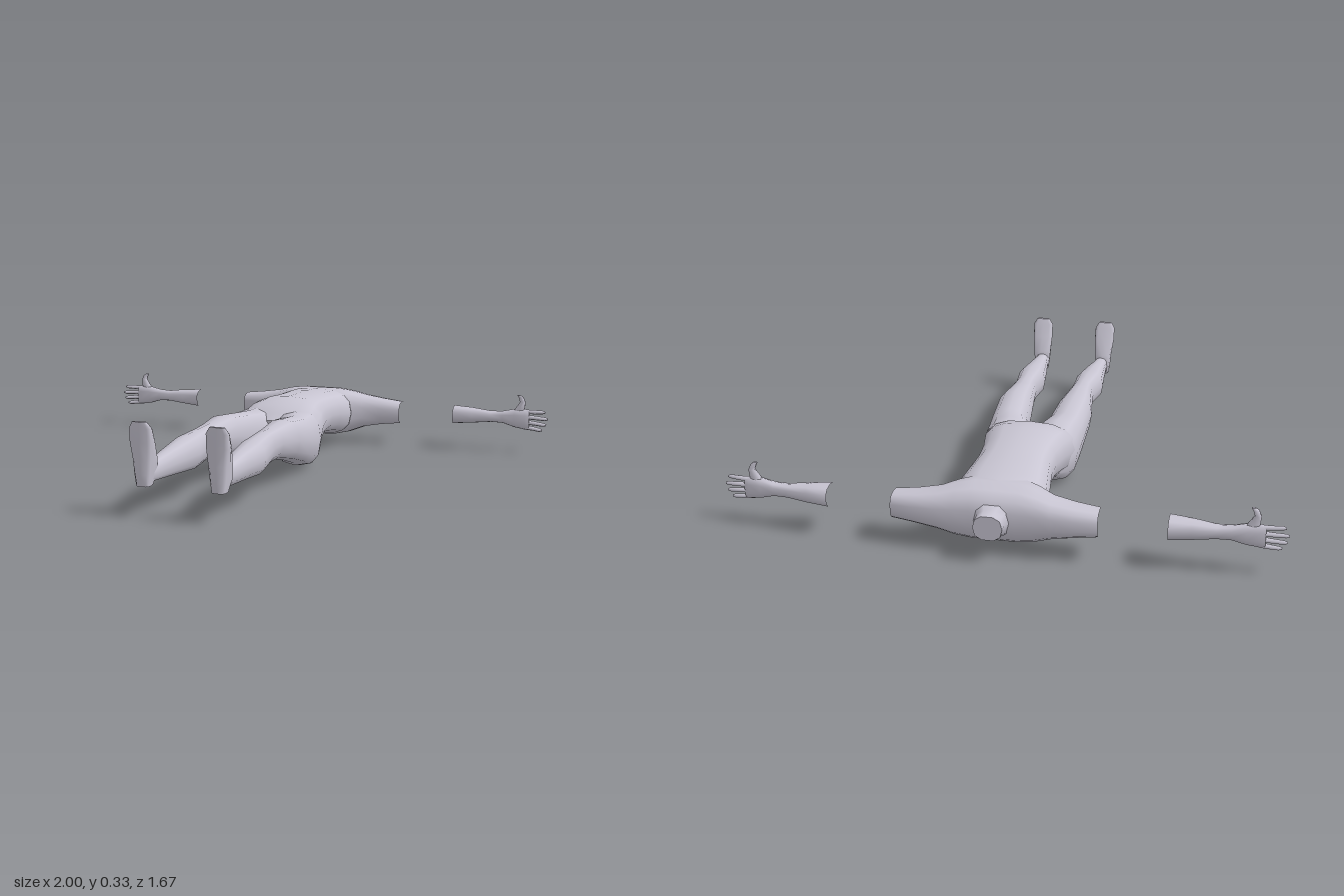
import * as THREE from 'three';

const skin = new THREE.MeshStandardMaterial({ color: 0xc8c5d2 });
skin.name = 'pale lavender grey';

// Loft of rounded sections [at, uMin, uMax, vMin, vMax], ordered along +axis.
// (u, v) is (y, z) for axis x, (z, x) for axis y and (x, y) for axis z.
function loft(axis, sections, { sides = 12, round = 0.8, capStart = false, capEnd = false } = {}) {
  const pos = [], index = [];
  const place = (u, v, at) => {
    if (axis === 'x') pos.push(at, u, v);
    else if (axis === 'y') pos.push(v, at, u);
    else pos.push(u, v, at);
  };
  const bend = t => Math.sign(t) * Math.pow(Math.abs(t), round);
  const ring = ([at, u0, u1, v0, v1]) => {
    const first = pos.length / 3;
    for (let i = 0; i < sides; i++) {
      const a = (i / sides) * Math.PI * 2;
      place((u0 + u1) / 2 + bend(Math.cos(a)) * (u1 - u0) / 2,
        (v0 + v1) / 2 + bend(Math.sin(a)) * (v1 - v0) / 2, at);
    }
    return first;
  };
  const starts = sections.map(ring);
  for (let r = 0; r + 1 < starts.length; r++) {
    for (let i = 0; i < sides; i++) {
      const j = (i + 1) % sides, a = starts[r], b = starts[r + 1];
      index.push(a + i, a + j, b + j, a + i, b + j, b + i);
    }
  }
  const cap = (s, forward) => {
    const f = ring(s), c = pos.length / 3;
    place((s[1] + s[2]) / 2, (s[3] + s[4]) / 2, s[0]);
    for (let i = 0; i < sides; i++) {
      const j = (i + 1) % sides;
      if (forward) index.push(c, f + i, f + j);
      else index.push(c, f + j, f + i);
    }
  };
  if (capStart) cap(sections[0], false);
  if (capEnd) cap(sections[sections.length - 1], true);
  const geo = new THREE.BufferGeometry();
  geo.setAttribute('position', new THREE.Float32BufferAttribute(pos, 3));
  geo.setIndex(index);
  geo.computeVertexNormals();
  return geo;
}

// Mirror across x = 0, keeping faces outward
function mirror(geo) {
  const m = geo.clone();
  m.scale(-1, 1, 1);
  const ix = m.index.array;
  for (let i = 0; i < ix.length; i += 3) [ix[i], ix[i + 1]] = [ix[i + 1], ix[i]];
  m.computeVertexNormals();
  return m;
}

export function createModel() {
  const model = new THREE.Group();
  model.name = 'lyingBody';
  const add = (name, geo, parent = model) => {
    const mesh = new THREE.Mesh(geo, skin);
    mesh.name = name;
    parent.add(mesh);
  };

  // Trunk from chest to crotch
  add('torso', loft('z', [
    [-0.68, -0.15, 0.15, 0.035, 0.232],
    [-0.60, -0.166, 0.166, 0.038, 0.24],
    [-0.50, -0.152, 0.152, 0.058, 0.247],
    [-0.42, -0.142, 0.142, 0.07, 0.25],
    [-0.33, -0.145, 0.145, 0.064, 0.255],
    [-0.25, -0.16, 0.16, 0.048, 0.26],
    [-0.20, -0.17, 0.17, 0.035, 0.255],
    [-0.14, -0.178, 0.178, 0.03, 0.24],
    [-0.10, -0.16, 0.16, 0.04, 0.215],
    [-0.06, -0.09, 0.09, 0.06, 0.19],
  ], { sides: 16, round: 0.75, capEnd: true }));

  // Shoulders and upper arms, open at the sleeve ends
  const half = [
    [0, 0.03, 0.235, -0.785, -0.56],
    [0.08, 0.03, 0.235, -0.782, -0.57],
    [0.14, 0.042, 0.225, -0.782, -0.60],
    [0.20, 0.065, 0.208, -0.782, -0.637],
    [0.28, 0.08, 0.195, -0.776, -0.655],
    [0.365, 0.09, 0.185, -0.766, -0.665],
  ];
  const otherHalf = half.slice(1).reverse().map(([x, ...rest]) => [-x, ...rest]);
  add('shouldersAndUpperArms', loft('x', [...otherHalf, ...half], { sides: 14, round: 0.75 }));

  add('neck', loft('z', [
    [-0.835, -0.052, 0.052, 0.088, 0.18],
    [-0.80, -0.052, 0.052, 0.082, 0.185],
    [-0.775, -0.065, 0.065, 0.07, 0.192],
    [-0.74, -0.10, 0.10, 0.05, 0.205],
  ], { sides: 10, capStart: true }));

  const leg = loft('z', [
    [-0.23, 0.03, 0.14, 0.05, 0.17],
    [-0.18, 0.012, 0.172, 0.016, 0.215],
    [-0.13, 0.004, 0.184, 0, 0.225],
    [-0.07, 0.004, 0.187, 0.012, 0.225],
    [0, 0.036, 0.19, 0.038, 0.228],
    [0.15, 0.052, 0.194, 0.082, 0.242],
    [0.28, 0.068, 0.175, 0.113, 0.232],
    [0.35, 0.076, 0.168, 0.11, 0.23],
    [0.42, 0.073, 0.176, 0.102, 0.226],
    [0.49, 0.068, 0.186, 0.096, 0.222],
    [0.60, 0.083, 0.175, 0.104, 0.208],
    [0.74, 0.105, 0.163, 0.112, 0.188],
    [0.79, 0.108, 0.165, 0.115, 0.19],
  ], { sides: 12, capStart: true });

  // Foot stands upright, its sole facing forward
  const foot = loft('y', [
    [0.107, 0.775, 0.828, 0.115, 0.165],
    [0.15, 0.745, 0.834, 0.108, 0.172],
    [0.20, 0.755, 0.834, 0.103, 0.176],
    [0.26, 0.785, 0.835, 0.098, 0.184],
    [0.31, 0.808, 0.835, 0.099, 0.184],
    [0.333, 0.82, 0.835, 0.115, 0.17],
  ], { sides: 12, round: 0.6, capStart: true, capEnd: true });

  // Forearm runs into the palm and is open at the elbow end
  const forearm = loft('x', [
    [0.60, 0.105, 0.184, -0.762, -0.665],
    [0.68, 0.112, 0.179, -0.754, -0.677],
    [0.76, 0.121, 0.169, -0.741, -0.69],
    [0.81, 0.12, 0.172, -0.736, -0.693],
    [0.86, 0.105, 0.184, -0.735, -0.69],
    [0.905, 0.098, 0.186, -0.73, -0.694],
    [0.922, 0.1, 0.182, -0.726, -0.698],
  ], { sides: 10, capEnd: true });

  const thumb = loft('y', [
    [0.155, -0.728, -0.698, 0.835, 0.895],
    [0.19, -0.726, -0.7, 0.862, 0.904],
    [0.215, -0.724, -0.702, 0.88, 0.905],
    [0.235, -0.72, -0.703, 0.873, 0.896],
    [0.243, -0.717, -0.706, 0.868, 0.885],
  ], { sides: 6, round: 1, capStart: true, capEnd: true });

  // Fingers: base height, tip height, tip x
  const fingers = [[0.108, 0.1, 0.978], [0.13, 0.123, 0.994], [0.152, 0.148, 1], [0.174, 0.176, 0.988]]
    .map(([base, tip, end]) => loft('x', [
      [0.90, base - 0.01, base + 0.01, -0.724, -0.7],
      [(0.90 + end) / 2, (base + tip) / 2 - 0.009, (base + tip) / 2 + 0.009, -0.722, -0.702],
      [end - 0.012, tip - 0.008, tip + 0.008, -0.717, -0.7],
      [end, tip - 0.004, tip + 0.004, -0.713, -0.703],
    ], { sides: 6, round: 1, capEnd: true }));

  for (const side of ['left', 'right']) {
    const own = geo => (side === 'left' ? geo : mirror(geo));
    add(side + 'Leg', own(leg));
    add(side + 'Foot', own(foot));
    const hand = new THREE.Group();
    hand.name = side + 'ForearmAndHand';
    add('forearmAndPalm', own(forearm), hand);
    add('thumb', own(thumb), hand);
    fingers.forEach((f, i) => add('finger' + (i + 1), own(f), hand));
    model.add(hand);
  }
  return model;
}
